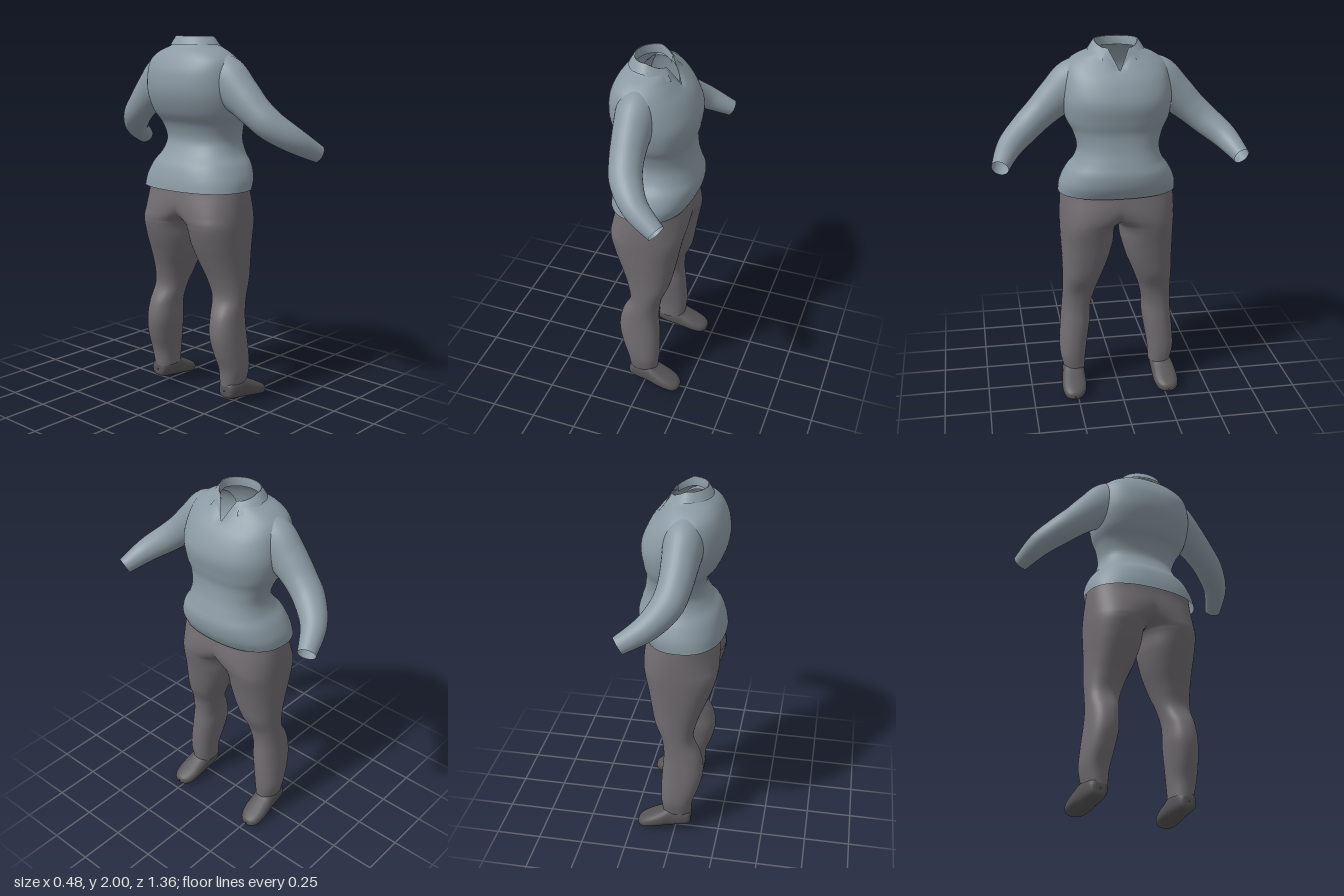
import * as THREE from 'three';
import { mergeGeometries, mergeVertices } from 'three/addons/utils/BufferGeometryUtils.js';

const material = (name, color) => {
  const m = new THREE.MeshStandardMaterial({ color, side: THREE.DoubleSide });
  m.name = name;
  return m;
};

// Surface from a grid of points fn(u, v); u wraps round when closed.
function grid(nu, nv, fn, closed = true, flip = false) {
  const pos = [], index = [], cols = closed ? nu : nu + 1;
  for (let j = 0; j <= nv; j++)
    for (let i = 0; i < cols; i++) pos.push(...fn(i / nu, j / nv));
  for (let j = 0; j < nv; j++)
    for (let i = 0; i < nu; i++) {
      const a = j * cols + i, b = j * cols + ((i + 1) % cols);
      const c = a + cols, d = b + cols;
      if (flip) index.push(a, b, c, b, d, c);
      else index.push(a, c, b, b, c, d);
    }
  const g = new THREE.BufferGeometry();
  g.setAttribute('position', new THREE.Float32BufferAttribute(pos, 3));
  g.setIndex(index);
  g.computeVertexNormals();
  return g;
}

// Smooth interpolation through rows of numbers, t from 0 to 1.
function sample(rows, t) {
  const s = t * (rows.length - 1), i = Math.min(Math.floor(s), rows.length - 2), f = s - i;
  const at = k => rows[Math.max(0, Math.min(rows.length - 1, k))];
  const [a, b, c, d] = [at(i - 1), at(i), at(i + 1), at(i + 2)];
  return b.map((p, k) => {
    const m0 = (c[k] - a[k]) / 2, m1 = (d[k] - p) / 2;
    return p + m0 * f + (3 * (c[k] - p) - 2 * m0 - m1) * f * f
      + (2 * (p - c[k]) + m0 + m1) * f * f * f;
  });
}

// Rounded-box outline: cosine and sine parts at angle a.
const power = (n, q) => Math.sign(n) * Math.pow(Math.abs(n), q);
const outline = (a, p) => [power(Math.cos(a), 2 / p), power(Math.sin(a), 2 / p)];
const mid = (a, b) => (a + b) / 2;
const TURN = Math.PI * 2;

// Shirt body rows: y, back x, front x, half width
const BODY = [
  [1.19, -0.24, 0.19, 0.32], [1.25, -0.23, 0.22, 0.312], [1.32, -0.205, 0.23, 0.28],
  [1.38, -0.16, 0.215, 0.238], [1.45, -0.13, 0.195, 0.22], [1.53, -0.15, 0.187, 0.24],
  [1.6, -0.2, 0.2, 0.275], [1.7, -0.24, 0.21, 0.292], [1.8, -0.24, 0.17, 0.285],
  [1.87, -0.215, 0.115, 0.265], [1.915, -0.185, 0.08, 0.212], [1.945, -0.15, 0.065, 0.145],
  [1.965, -0.128, 0.055, 0.112],
];
// Sleeve rows: x, y, z, radius front to back, radius across
const SLEEVE = [
  [-0.05, 1.8, 0.12, 0.11, 0.12], [-0.045, 1.765, 0.22, 0.106, 0.133], [-0.04, 1.695, 0.32, 0.094, 0.105],
  [-0.03, 1.62, 0.405, 0.086, 0.087], [-0.002, 1.55, 0.485, 0.082, 0.079],
  [0.078, 1.475, 0.575, 0.067, 0.067], [0.205, 1.4, 0.635, 0.048, 0.045],
];
// Trouser leg rows: y, back x, front x, inner z, outer z
const LEG = [
  [0.11, -0.09, 0.07, 0.19, 0.31], [0.2, -0.1, 0.08, 0.183, 0.33], [0.3, -0.135, 0.08, 0.168, 0.328],
  [0.4, -0.155, 0.075, 0.153, 0.32], [0.5, -0.14, 0.068, 0.148, 0.312], [0.6, -0.095, 0.08, 0.125, 0.308],
  [0.7, -0.112, 0.12, 0.09, 0.307], [0.8, -0.15, 0.142, 0.05, 0.308], [0.9, -0.19, 0.16, 0.022, 0.312],
  [1.0, -0.218, 0.18, 0.004, 0.315], [1.06, -0.218, 0.19, -0.09, 0.315], [1.12, -0.212, 0.19, -0.2, 0.313],
  [1.19, -0.2, 0.18, -0.3, 0.308], [1.25, -0.195, 0.175, -0.3, 0.3],
];
// Shoe rows: x, bottom y, top y, inner z, outer z
const SHOE = [
  [-0.09, 0.08, 0.085, 0.25, 0.26], [-0.085, 0.045, 0.125, 0.215, 0.3], [-0.04, 0.03, 0.15, 0.2, 0.315],
  [0.03, 0.02, 0.15, 0.196, 0.322], [0.08, 0.014, 0.122, 0.195, 0.331], [0.14, 0.006, 0.09, 0.197, 0.334],
  [0.185, 0.0, 0.066, 0.212, 0.325], [0.21, 0.008, 0.048, 0.238, 0.302], [0.217, 0.025, 0.03, 0.266, 0.274],
];

function bodyPoint(u, v) {
  let [y, xb, xf, w] = sample(BODY, v);
  const [c, s] = outline(u * TURN, 2.35);
  let x = mid(xb, xf) + c * (xf - xb) / 2;
  const z = s * w;
  // V-shaped opening at the front of the neck
  if (y > 1.85 && x > 0) {
    const drop = 0.11 * ((y - 1.85) / 0.115) * Math.max(0, 1 - Math.abs(z) / 0.055);
    y -= drop;
    x += drop * 0.5;
  }
  return [x, y, z];
}

function sleevePoint(side) {
  return (u, v) => {
    const [x, y, z, rx, r] = sample(SLEEVE, v);
    const a = new THREE.Vector3(...sample(SLEEVE, Math.max(0, v - 0.02)));
    const t = new THREE.Vector3(...sample(SLEEVE, Math.min(1, v + 0.02))).sub(a).normalize();
    const e = new THREE.Vector3(1, 0, 0).addScaledVector(t, -t.x).normalize();
    const n = new THREE.Vector3().crossVectors(e, t);
    const [c, s] = outline(u * TURN, 2);
    const p = new THREE.Vector3(x, y, z).addScaledVector(e, c * rx).addScaledVector(n, s * r);
    return [p.x, p.y, p.z * side];
  };
}

function legPoint(side) {
  return (u, v) => {
    const p = 2.3, [y, xb, xf, zi, zo] = sample(LEG, v);
    // Above the crotch the outline stops at the middle seam, where the legs join
    const seam = Math.max(-1, -(zi + zo) / (zo - zi));
    const start = Math.asin(power(seam, p / 2));
    const [c, s] = outline(THREE.MathUtils.lerp(start, Math.PI - start, u), p);
    const z = Math.max(0, mid(zi, zo) + s * (zo - zi) / 2);
    return [mid(xb, xf) + c * (xf - xb) / 2, y, z * side];
  };
}

// Both legs welded along the seam, so the hips are smooth
function trouserGeometry() {
  const legs = [1, -1].map(side => grid(56, 78, legPoint(side), false, side < 0));
  const g = mergeGeometries(legs);
  g.deleteAttribute('normal');
  const welded = mergeVertices(g, 1e-4);
  welded.computeVertexNormals();
  return welded;
}

function shoePoint(side) {
  return (u, v) => {
    const [x, y0, y1, z0, z1] = sample(SHOE, v);
    const [c, s] = outline(u * TURN, 2.4);
    return [x, Math.max(0, mid(y0, y1) + c * (y1 - y0) / 2), (mid(z0, z1) - s * (z1 - z0) / 2) * side];
  };
}

// Folded collar, open at the front: stand, fold, then outer leaf
function collarPoint(u, v) {
  const a = THREE.MathUtils.lerp(0.6, TURN - 0.6, u);
  const c = Math.cos(a), s = Math.sin(a), f = Math.max(0, c);
  const rows = [
    [-0.035 + 0.088 * c, 1.95 - 0.025 * f, 0.108 * s],
    [-0.035 + 0.09 * c, 1.995 - 0.042 * f, 0.11 * s],
    [-0.035 + 0.098 * c, 1.998 - 0.045 * f, 0.117 * s],
    [-0.035 + (0.124 + 0.032 * f) * c, 1.952 - 0.055 * f, (0.148 + 0.01 * f) * s],
  ];
  return rows[Math.round(v * 3)];
}

export function createModel() {
  const shirt = material('shirt blue grey', 0x8b9aa4);
  const trousers = material('trouser grey', 0x706c70);
  const leather = material('shoe dark grey', 0x565456);
  const model = new THREE.Group();
  model.name = 'clothedFigure';
  const add = (name, geometry, mat) => {
    const mesh = new THREE.Mesh(geometry, mat);
    mesh.name = name;
    model.add(mesh);
  };

  add('shirtBody', grid(72, 60, bodyPoint), shirt);
  add('collar', grid(48, 3, collarPoint, false, true), shirt);
  add('trousers', trouserGeometry(), trousers);

  // Paired parts, one set on each side
  for (const [label, side] of [['near', 1], ['far', -1]]) {
    add(label + 'Sleeve', grid(32, 36, sleevePoint(side), true, side < 0), shirt);
    add(label + 'Shoe', grid(32, 32, shoePoint(side), true, side < 0), leather);
  }
  return model;
}
